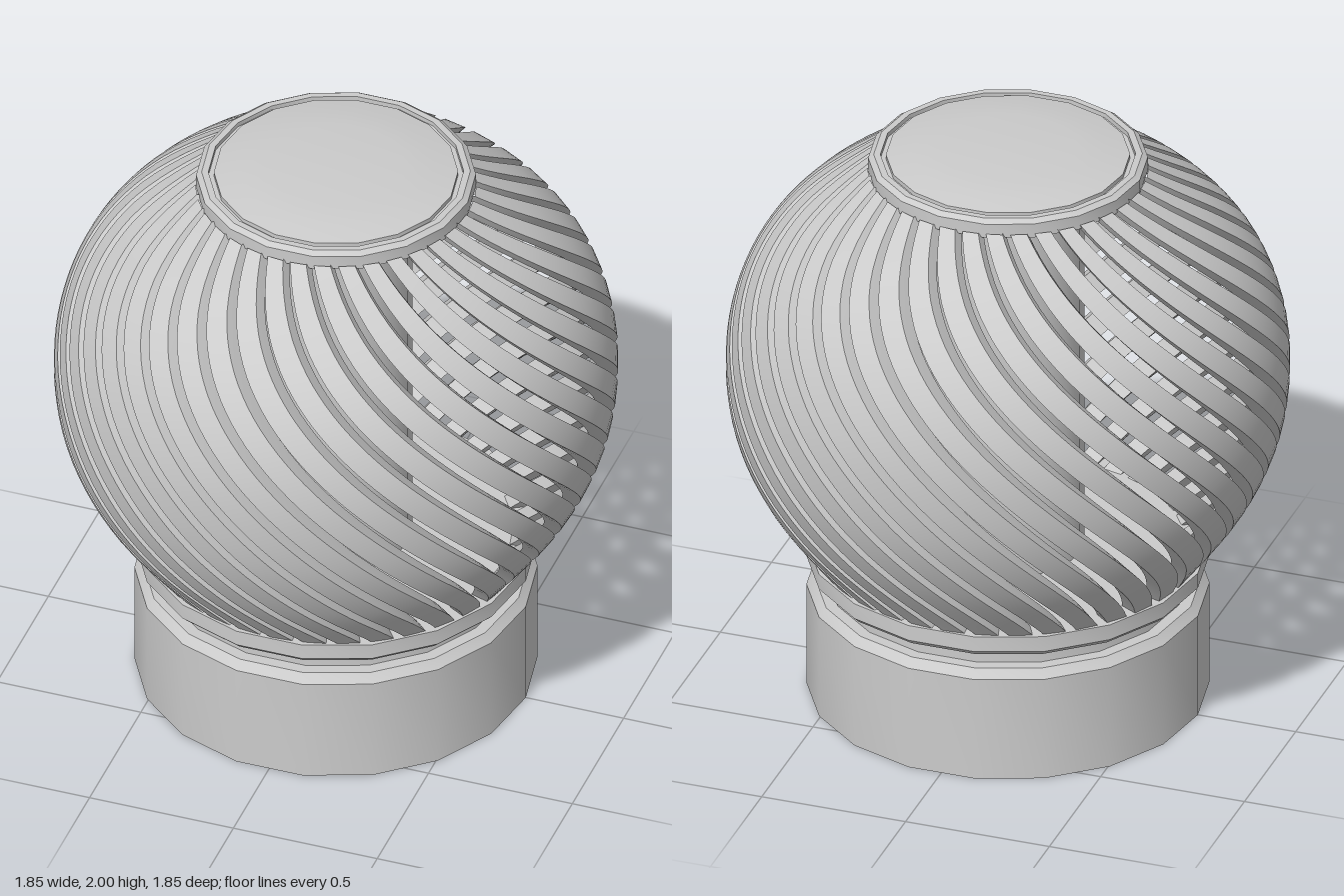
import * as THREE from 'three';
import { toCreasedNormals } from 'three/addons/utils/BufferGeometryUtils.js';

const SIDES = 18;
const RIBS = 36;
const Y_LOW = 0.52, Y_HIGH = 1.93;

const grey = new THREE.MeshStandardMaterial({ color: 0xcccccc });

function part(name, geometry) {
  const mesh = new THREE.Mesh(geometry, grey);
  mesh.name = name;
  return mesh;
}

// Turned part; profile runs from the bottom up as [radius, y] pairs
function turned(name, profile, sides = SIDES) {
  const points = profile.map(([r, y]) => new THREE.Vector2(r, y));
  const lathe = new THREE.LatheGeometry(points, sides, Math.PI / 2);
  return part(name, toCreasedNormals(lathe, 0.45));
}

// Bulging outline that the ribs follow
const outline = new THREE.SplineCurve([
  [0.635, 0.52], [0.80, 0.75], [0.895, 0.97], [0.925, 1.2],
  [0.90, 1.41], [0.82, 1.6], [0.68, 1.765], [0.46, 1.93],
].map(([r, y]) => new THREE.Vector2(r, y)));

// One twisted rib: a four-cornered section swept down the outline over a quarter turn
function ribGeometry() {
  const steps = 44, depth = 0.065;
  const half = THREE.MathUtils.degToRad(3.4);
  const corners = [[-half, 0], [half, 0], [half, depth], [-half, depth]];
  const positions = [], index = [];
  for (let i = 0; i <= steps; i++) {
    const p = outline.getPoint(i / steps);
    const twist = ((Y_HIGH - p.y) / (Y_HIGH - Y_LOW)) * Math.PI / 2;
    for (const [angle, inset] of corners) {
      const r = p.x - inset;
      positions.push(r * Math.sin(twist + angle), p.y, r * Math.cos(twist + angle));
    }
    if (i === steps) break;
    for (let k = 0; k < 4; k++) {
      const a = i * 4 + k, b = i * 4 + (k + 1) % 4;
      index.push(a, b, b + 4, a, b + 4, a + 4);
    }
  }
  const geometry = new THREE.BufferGeometry();
  geometry.setAttribute('position', new THREE.Float32BufferAttribute(positions, 3));
  geometry.setIndex(index);
  return toCreasedNormals(geometry, 0.6);
}

export function createModel() {
  const model = new THREE.Group();
  model.name = 'ribbedLamp';

  // Base drum, narrow neck and the flange that carries the ribs
  model.add(turned('base', [
    [0, 0], [0.66, 0], [0.66, 0.37], [0.635, 0.4], [0.595, 0.4], [0.595, 0.455],
    [0.64, 0.455], [0.66, 0.475], [0.66, 0.53], [0, 0.53],
  ]));

  // Central column behind the ribs
  model.add(turned('innerColumn', [[0.25, 0.53], [0.25, 1.93]]));

  // Cage of twisted ribs
  const cage = new THREE.Group();
  cage.name = 'ribCage';
  const geometry = ribGeometry();
  const phase = THREE.MathUtils.degToRad(4);
  for (let i = 0; i < RIBS; i++) {
    const rib = part('rib', geometry);
    rib.rotation.y = (i / RIBS) * Math.PI * 2 + phase;
    cage.add(rib);
  }
  model.add(cage);

  // Top collar with a shallow groove around the lid
  model.add(turned('topCollar', [
    [0, 1.915], [0.458, 1.915], [0.458, 1.965], [0.44, 1.978],
    [0.418, 1.978], [0.418, 1.962], [0, 1.962],
  ]));

  // Slightly domed lid
  model.add(turned('lid', [
    [0.4, 1.96], [0.4, 1.977], [0.32, 1.991], [0.23, 2], [0, 2],
  ]));

  return model;
}
